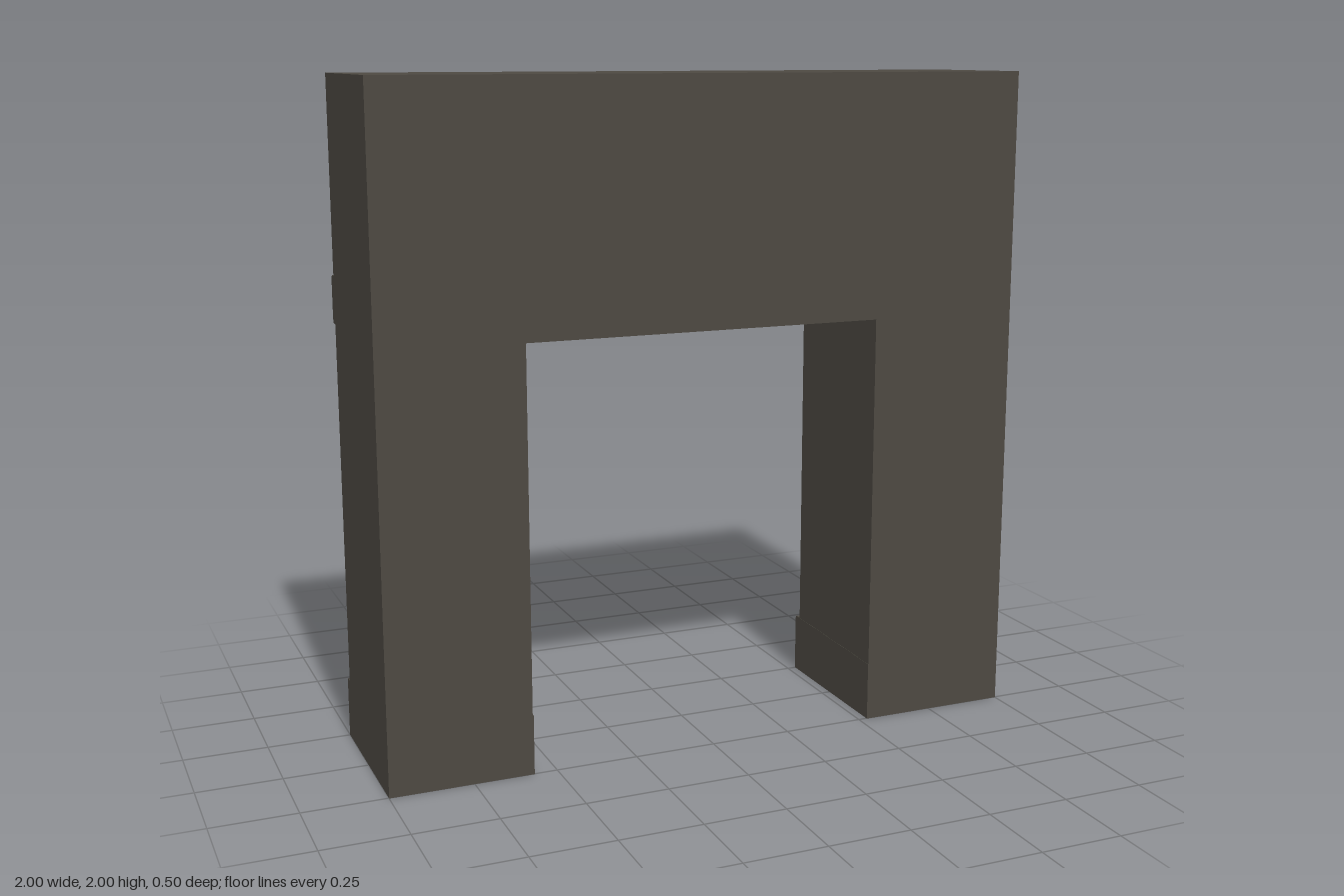
import * as THREE from 'three';

const FRONT = 0.253, WALL_BACK = -0.224, TRIM_BACK = -0.252;
const BASE_TOP = 0.18, LINTEL = 1.27, JAMB_R = -0.573, JAMB_L = 0.528;

const stone = new THREE.MeshStandardMaterial({ color: 0x4d4942 });
stone.name = 'dark stone';

const shapeOf = (points) => new THREE.Shape(points.map(([x, y]) => new THREE.Vector2(x, y)));

// Extrudes a side profile, given as [z, y] corners, from x0 to x1
function moulding(name, profile, x0, x1) {
  const shape = shapeOf(profile.map(([z, y]) => [-z, y]));
  const geometry = new THREE.ExtrudeGeometry(shape, { depth: x1 - x0, bevelEnabled: false });
  geometry.rotateY(Math.PI / 2).translate(x0, 0, 0);
  const mesh = new THREE.Mesh(geometry, stone);
  mesh.name = name;
  return mesh;
}

export function createModel() {
  const group = new THREE.Group();
  group.name = 'doorwayWall';

  // Wall with a slightly off-centre doorway, standing on the plinths
  const outline = shapeOf([
    [-1, BASE_TOP], [JAMB_R, BASE_TOP], [JAMB_R, LINTEL], [JAMB_L, LINTEL],
    [JAMB_L, BASE_TOP], [1, BASE_TOP], [1, 2], [-1, 2],
  ]);
  const wallGeometry = new THREE.ExtrudeGeometry(outline, { depth: FRONT - WALL_BACK, bevelEnabled: false });
  wallGeometry.translate(0, 0, WALL_BACK);
  const wall = new THREE.Mesh(wallGeometry, stone);
  wall.name = 'wall';
  group.add(wall);

  // Plinths, proud of the back and a touch proud inside the doorway
  const plinth = [
    [FRONT, 0], [FRONT, BASE_TOP], [WALL_BACK, BASE_TOP + 0.005],
    [TRIM_BACK + 0.005, BASE_TOP + 0.005], [TRIM_BACK, BASE_TOP - 0.005], [TRIM_BACK, 0],
  ];
  group.add(moulding('rightPlinth', plinth, -1, JAMB_R + 0.003));
  group.add(moulding('leftPlinth', plinth, JAMB_L - 0.001, 1));

  // Chamfered ledge along the back above the doorway
  const ledge = [
    [WALL_BACK, 1.28], [WALL_BACK, 1.422], [TRIM_BACK + 0.007, 1.422],
    [TRIM_BACK, 1.41], [TRIM_BACK, 1.292], [TRIM_BACK + 0.007, 1.28],
  ];
  group.add(moulding('backLedge', ledge, -1, 1));

  return group;
}
